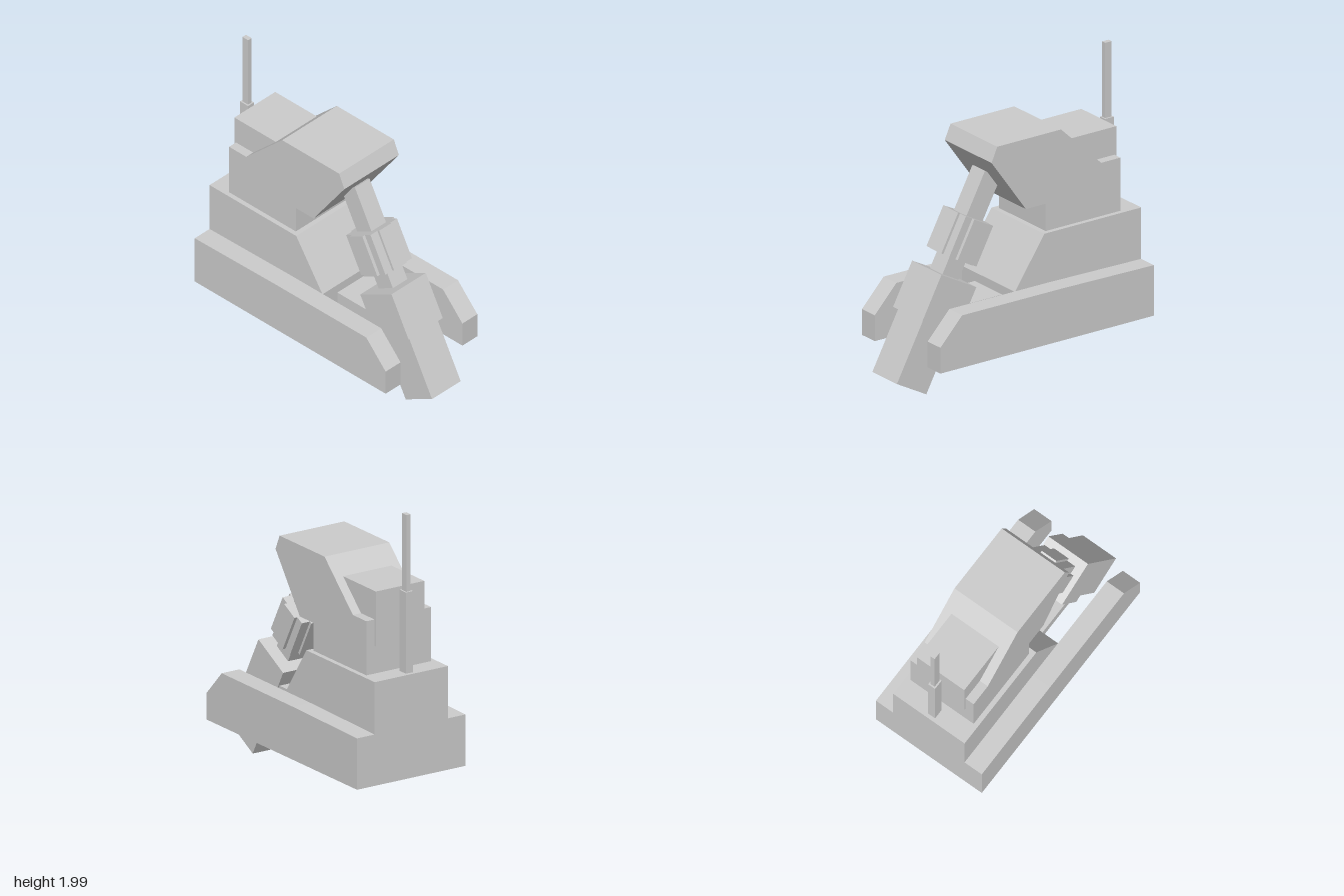
import * as THREE from 'three';

const material = new THREE.MeshStandardMaterial({ color: 0xcccccc, flatShading: true });

// Side outline given as [z, y] points, extruded across x and centred on x = cx.
function profile(name, points, width, cx = 0) {
  const shape = new THREE.Shape(points.map(([z, y]) => new THREE.Vector2(z, y)));
  const geometry = new THREE.ExtrudeGeometry(shape, { depth: width, bevelEnabled: false });
  geometry.translate(0, 0, -width / 2).rotateY(-Math.PI / 2).translate(cx, 0, 0);
  const mesh = new THREE.Mesh(geometry, material);
  mesh.name = name;
  return mesh;
}

// Box of width w (x) and depth d (z) standing from y0 to y1.
function block(name, w, d, y0, y1, x = 0, z = 0) {
  const mesh = new THREE.Mesh(new THREE.BoxGeometry(w, y1 - y0, d), material);
  mesh.position.set(x, (y0 + y1) / 2, z);
  mesh.name = name;
  return mesh;
}

export function createModel() {
  const model = new THREE.Group();
  model.name = 'machine';

  // Base: central hull between two long side rails
  model.add(profile('hull', [
    [-0.9, 0.26], [0.09, 0.26], [0.09, 0.61], [-0.14, 0.95], [-0.9, 0.95],
  ], 0.56));
  for (const side of [-1, 1]) {
    model.add(profile(side > 0 ? 'leftRail' : 'rightRail', [
      [-0.9, 0.26], [0.775, 0.26], [0.775, 0.435], [0.605, 0.615], [-0.18, 0.613], [-0.9, 0.602],
    ], 0.135, side * 0.3475));
  }

  // Head with overhanging front and sloped back
  model.add(profile('head', [
    [-0.76, 0.95], [-0.175, 0.95], [-0.175, 1.135], [-0.02, 1.135], [0.25, 1.51],
    [0.205, 1.61], [-0.295, 1.61], [-0.61, 1.31], [-0.76, 1.31],
  ], 0.495));
  model.add(block('rearBox', 0.37, 0.365, 1.135, 1.5, 0, -0.5925));

  // Antenna
  model.add(block('antennaBase', 0.054, 0.07, 0.95, 1.49, -0.003, -0.84));
  model.add(block('antennaMast', 0.032, 0.05, 1.49, 2, -0.003, -0.84));

  // Strut joining the hull to the arm
  model.add(block('armStrut', 0.29, 0.34, 0.47, 0.55, 0, 0.26));

  // Leaning arm, built upright from its foot and then tilted back
  const arm = new THREE.Group();
  arm.name = 'arm';
  arm.add(block('foot', 0.26, 0.262, 0, 0.45));
  arm.add(block('lowerHousing', 0.31, 0.311, 0.43, 0.746));
  arm.add(block('shaft', 0.132, 0.142, 0.7, 1.45));
  // Stepped collar from crossing slabs
  for (const [w, d] of [[0.115, 0.277], [0.24, 0.242], [0.285, 0.13]]) {
    arm.add(block('collarSlab', w, d, 0.866, 1.144));
  }
  arm.position.set(0, 0.068, 0.79);
  arm.rotation.x = -0.492;
  model.add(arm);

  return model;
}
